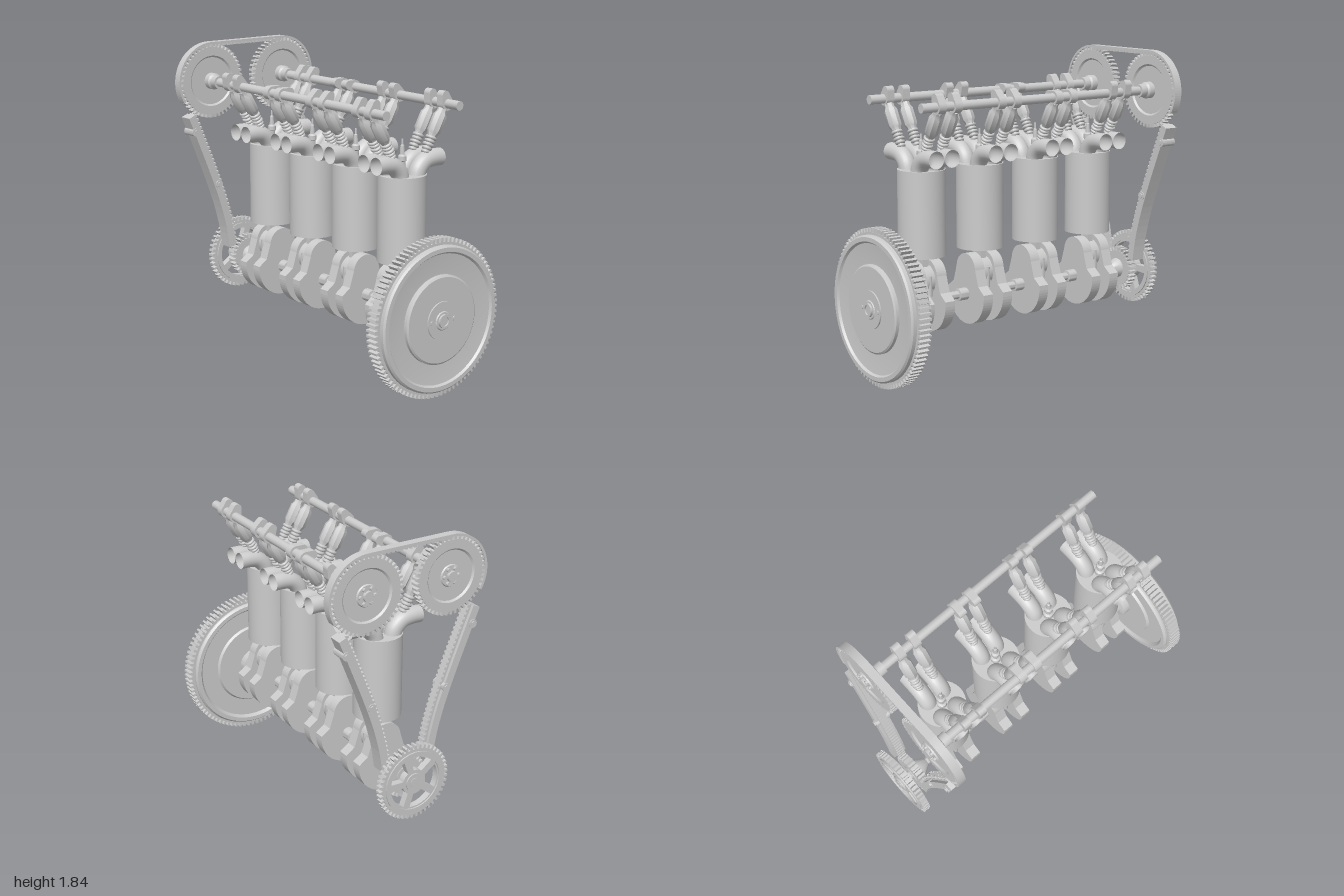
import * as THREE from 'three';
import { toCreasedNormals } from 'three/addons/utils/BufferGeometryUtils.js';

const grey = new THREE.MeshStandardMaterial({ color: 0xcccccc });
const greyOpen = new THREE.MeshStandardMaterial({ color: 0xcccccc, side: THREE.DoubleSide });
const V2 = (x, y) => new THREE.Vector2(x, y);
const CRANK_Y = 0.46, CAM_X = 0.268, CAM_Y = 1.605;
const CYLINDER_Z = [0.616, 0.212, -0.193, -0.598];

function add(parent, name, geo, x = 0, y = 0, z = 0, mat = grey) {
  const m = new THREE.Mesh(geo, mat);
  m.name = name;
  m.position.set(x, y, z);
  parent.add(m);
  return m;
}
// Turned part; profile pairs are [radius, height], bottom to top
const turned = (pts, seg = 40) =>
  toCreasedNormals(new THREE.LatheGeometry(pts.map(p => V2(...p)), seg), 0.6);
// Turned part lying along z
const turnedZ = (pts, seg) => turned(pts, seg).rotateX(Math.PI / 2);
// Plain round bar from z0 to z1
const bar = (r, z0, z1, seg = 20) => turnedZ([[0, z0], [r, z0], [r, z1], [0, z1]], seg);
// Flat shape given thickness between z0 and z1
const slab = (shape, z0, z1) =>
  new THREE.ExtrudeGeometry(shape, { depth: z1 - z0, bevelEnabled: false, curveSegments: 16 }).translate(0, 0, z0);

function gearShape(n, root, tip) {
  const pts = [];
  for (let i = 0; i < n; i++)
    [[0, root], [0.45, root], [0.52, tip], [0.93, tip]].forEach(([f, r]) => {
      const a = (i + f) / n * Math.PI * 2;
      pts.push(V2(Math.cos(a) * r, Math.sin(a) * r));
    });
  return new THREE.Shape(pts);
}
function hole(shape, r) {
  shape.holes.push(new THREE.Path().absarc(0, 0, r, 0, Math.PI * 2, true));
  return shape;
}

function flywheel() {
  const g = new THREE.Group();
  g.name = 'flywheel';
  g.position.y = CRANK_Y;
  add(g, 'flywheelDisc', turnedZ([[0, 0.71], [0.06, 0.71], [0.065, 0.78], [0.1, 0.79], [0.1, 0.835],
    [0.25, 0.835], [0.26, 0.85], [0.37, 0.85], [0.385, 0.832], [0.41, 0.832], [0.42, 0.845], [0.42, 0.95], [0.41, 0.96],
    [0.385, 0.96], [0.375, 0.947], [0.265, 0.935], [0.255, 0.935], [0.255, 0.955], [0.245, 0.962], [0.11, 0.962],
    [0.11, 0.97], [0.055, 0.97], [0.05, 0.975], [0, 0.975]], 80));
  add(g, 'ringGear', slab(hole(gearShape(90, 0.435, 0.458), 0.4), 0.855, 0.927));
  add(g, 'centreNut', turnedZ([[0, 0.97], [0.04, 0.97], [0.04, 0.988], [0.028, 0.988], [0.028, 0.98], [0, 0.98]], 12));
  for (const s of [-1, 1]) add(g, 'flywheelBolt', bar(0.013, 0.96, 0.976, 12), s * 0.083);
  return g;
}

function crankshaft() {
  const g = new THREE.Group();
  g.name = 'crankshaft';
  g.position.y = CRANK_Y;
  // Web: rounded crank cheek above, wide counterweight below
  const web = new THREE.Shape();
  web.absarc(0, 0.145, 0.095, 0.1, Math.PI - 0.1, false);
  web.lineTo(-0.125, 0.06).lineTo(-0.18, 0.02);
  web.absarc(0, 0, 0.18, Math.PI + 0.05, Math.PI * 2 - 0.05, false);
  web.lineTo(0.18, 0.02).lineTo(0.125, 0.06);
  CYLINDER_Z.forEach((z, i) => {
    for (const s of [-1, 1]) add(g, 'crankWeb', slab(web, -0.033, 0.033), 0, 0, z + s * 0.069);
    add(g, 'crankPin', bar(0.05, -0.05, 0.05), 0, 0.13, z);
    // Stepped main journal towards the next web
    if (i < 3) {
      const a = CYLINDER_Z[i + 1] + 0.1, b = z - 0.1;
      add(g, 'mainJournal', turnedZ([[0, a], [0.036, a], [0.036, a + 0.06], [0.023, a + 0.062],
        [0.023, b - 0.062], [0.036, b - 0.06], [0.036, b], [0, b]], 24));
    }
  });
  add(g, 'crankNose', turnedZ([[0, -0.992], [0.03, -0.992], [0.03, -0.9], [0.06, -0.9], [0.06, -0.835],
    [0.035, -0.79], [0.023, -0.775], [0.023, -0.755], [0.036, -0.75], [0.036, -0.69], [0, -0.69]], 24));
  add(g, 'crankSprocket', slab(gearShape(28, 0.11, 0.132), -0.895, -0.845));
  // Spoked gear at the rear end
  const gear = hole(gearShape(46, 0.207, 0.228), 0.02);
  for (let i = 0; i < 5; i++) {
    const a = i * Math.PI * 0.4 + 0.14, b = a + 0.97;
    const h = new THREE.Path();
    h.absarc(0, 0, 0.155, a, b, false);
    h.absarc(0, 0, 0.075, b - 0.12, a + 0.12, true);
    h.closePath();
    gear.holes.push(h);
  }
  add(g, 'rearGear', slab(gear, -0.98, -0.94));
  add(g, 'rearGearRim', slab(hole(new THREE.Shape().absarc(0, 0, 0.19, 0, Math.PI * 2), 0.165), -0.988, -0.932));
  add(g, 'rearGearHub', bar(0.055, -0.988, -0.925));
  return g;
}

// Bucket, spring and valve hanging along local -y below the camshaft
function valve() {
  const g = new THREE.Group();
  g.name = 'valve';
  add(g, 'tappet', turned([[0, -0.2], [0.026, -0.2], [0.03, -0.185], [0.039, -0.17], [0.039, -0.075],
    [0.028, -0.055], [0.028, -0.035], [0, -0.035]], 8));
  [0.032, 0.029, 0.032, 0.028, 0.024].forEach((r, i) =>
    add(g, 'springCoil', new THREE.TorusGeometry(r - 0.008, 0.01, 8, 18).rotateX(Math.PI / 2), 0, -0.21 - i * 0.021));
  add(g, 'valveStem', turned([[0, -0.44], [0.04, -0.44], [0.04, -0.432], [0.01, -0.4], [0.01, -0.18], [0, -0.18]], 14));
  return g;
}

function cylinderUnit(z, index) {
  const g = new THREE.Group();
  g.name = 'cylinder' + (index + 1);
  g.position.z = z;
  add(g, 'cylinderBarrel', turned([[0, 1.2], [0.127, 1.2], [0.127, 0.73], [0.138, 0.73], [0.138, 1.228], [0, 1.228]], 48));
  add(g, 'piston', turned([[0, 0.8], [0.1, 0.8], [0.1, 0.75], [0.124, 0.75], [0.124, 1.0], [0, 1.0]], 40));
  // Connecting rod
  add(g, 'rodShank', new THREE.BoxGeometry(0.07, 0.22, 0.035), 0, 0.74);
  add(g, 'rodBigEnd', bar(0.088, -0.031, 0.031, 28), 0, 0.585);
  add(g, 'rodCap', new THREE.BoxGeometry(0.15, 0.05, 0.05), 0, 0.545);
  for (const s of [-1, 1])
    add(g, 'rodBolt', new THREE.CylinderGeometry(0.014, 0.014, 0.12, 10), s * 0.075, 0.56);
  // Spark plug
  add(g, 'sparkPlug', turned([[0, 1.22], [0.03, 1.22], [0.03, 1.26], [0.018, 1.27], [0.018, 1.3], [0.025, 1.305],
    [0.025, 1.33], [0.014, 1.34], [0.011, 1.39], [0.006, 1.395], [0.006, 1.428], [0, 1.428]], 12));
  // Ports, valves and cam lobes on both sides
  for (const s of [-1, 1]) {
    const path = new THREE.CatmullRomCurve3([[0.235, 1.307], [0.17, 1.307], [0.115, 1.295], [0.072, 1.255], [0.055, 1.2]]
      .map(([x, y]) => new THREE.Vector3(s * x, y, 0)));
    const phase = Math.PI / 2 + s * [0.3, 0.5, 1.3, -0.4][index];
    const lobe = new THREE.Shape();
    lobe.absarc(0, 0, 0.04, Math.PI * 0.4, Math.PI * 1.6, false);
    lobe.absarc(0.05, 0, 0.026, -Math.PI * 0.4, Math.PI * 0.4, false);
    for (const t of [-1, 1]) {
      add(g, 'portPipe', new THREE.TubeGeometry(path, 20, 0.05, 22), 0, 0, t * 0.053, greyOpen);
      add(g, 'camLobe', slab(lobe, -0.024, 0.024), s * CAM_X, CAM_Y, t * 0.053).rotation.z = phase;
      const v = valve();
      v.position.set(s * CAM_X, CAM_Y, t * 0.053);
      v.rotation.z = -s * 0.508;
      g.add(v);
    }
  }
  return g;
}

function camshaft(s) {
  const g = new THREE.Group();
  g.name = s > 0 ? 'leftCamshaft' : 'rightCamshaft';
  g.position.set(s * CAM_X, CAM_Y, 0);
  add(g, 'camshaftBar', bar(0.027, -0.85, 0.79, 12));
  add(g, 'camshaftCollar', turnedZ([[0, -0.86], [0.05, -0.86], [0.05, -0.82], [0.04, -0.81], [0.04, -0.765], [0, -0.765]], 16));
  add(g, 'camSprocket', slab(hole(gearShape(48, 0.208, 0.228), 0.17), -0.892, -0.848));
  add(g, 'sprocketFace', turnedZ([[0, -0.89], [0.06, -0.89], [0.065, -0.882], [0.145, -0.882], [0.155, -0.892], [0.18, -0.892],
    [0.185, -0.884], [0.185, -0.856], [0.18, -0.848], [0.155, -0.848], [0.145, -0.858], [0, -0.858]], 56));
  add(g, 'sprocketHub', bar(0.03, -0.91, -0.88));
  for (let i = 0; i < 6; i++)
    add(g, 'hubBolt', bar(0.011, -0.905, -0.885, 8), Math.cos(i * Math.PI / 3) * 0.046, Math.sin(i * Math.PI / 3) * 0.046);
  return g;
}

function timingBelt() {
  const g = new THREE.Group();
  g.name = 'timingBelt';
  // Band over both cam sprockets
  const end = Math.PI * 0.17, band = new THREE.Shape();
  band.absarc(CAM_X, CAM_Y, 0.239, -end, Math.PI / 2, false);
  band.absarc(-CAM_X, CAM_Y, 0.239, Math.PI / 2, Math.PI + end, false);
  band.absarc(-CAM_X, CAM_Y, 0.225, Math.PI + end, Math.PI / 2, true);
  band.absarc(CAM_X, CAM_Y, 0.225, Math.PI / 2, -end, true);
  add(g, 'upperBand', slab(band, -0.895, -0.845));
  const tooth = new THREE.BoxGeometry(0.014, 0.016, 0.05);
  for (let i = -9; i <= 9; i++) add(g, 'beltTooth', tooth, i * 0.028, CAM_Y + 0.22, -0.87);
  // Curved guide rails with the toothed run along their inner edge
  for (const s of [-1, 1]) {
    const curve = new THREE.SplineCurve([[0.432, 1.4], [0.37, 1.25], [0.285, 1.04], [0.215, 0.85], [0.168, 0.68], [0.145, 0.54]]
      .map(([x, y]) => V2(s * x, y)));
    const at = (t, d) => {
      const p = curve.getPointAt(t), k = curve.getTangentAt(t);
      return V2(p.x - k.y * d * s, p.y + k.x * d * s);
    };
    const strip = (d0, d1) => {
      const ts = Array.from({ length: 21 }, (_, i) => i / 20);
      return new THREE.Shape([...ts.map(t => at(t, d0)), ...ts.reverse().map(t => at(t, d1))]);
    };
    add(g, 'guideRail', slab(strip(-0.022, 0.024), -0.913, -0.828));
    add(g, 'beltRun', slab(strip(-0.034, -0.02), -0.895, -0.845));
    for (let i = 0; i < 32; i++) {
      const t = (i + 0.5) / 32, p = at(t, -0.038), k = curve.getTangentAt(t);
      add(g, 'beltTooth', tooth, p.x, p.y, -0.87).rotation.z = Math.atan2(k.y, k.x);
    }
    for (const [x, y] of [[0.41, 1.302], [0.244, 0.956]]) {
      add(g, 'railBoss', bar(0.025, -0.918, -0.822, 16), s * x, y);
      add(g, 'railBolt', bar(0.016, -0.925, -0.815, 6), s * x, y);
    }
  }
  return g;
}

export function createModel() {
  const model = new THREE.Group();
  model.name = 'engineInternals';
  model.add(flywheel(), crankshaft(), timingBelt(), camshaft(-1), camshaft(1));
  CYLINDER_Z.forEach((z, i) => model.add(cylinderUnit(z, i)));
  return model;
}
